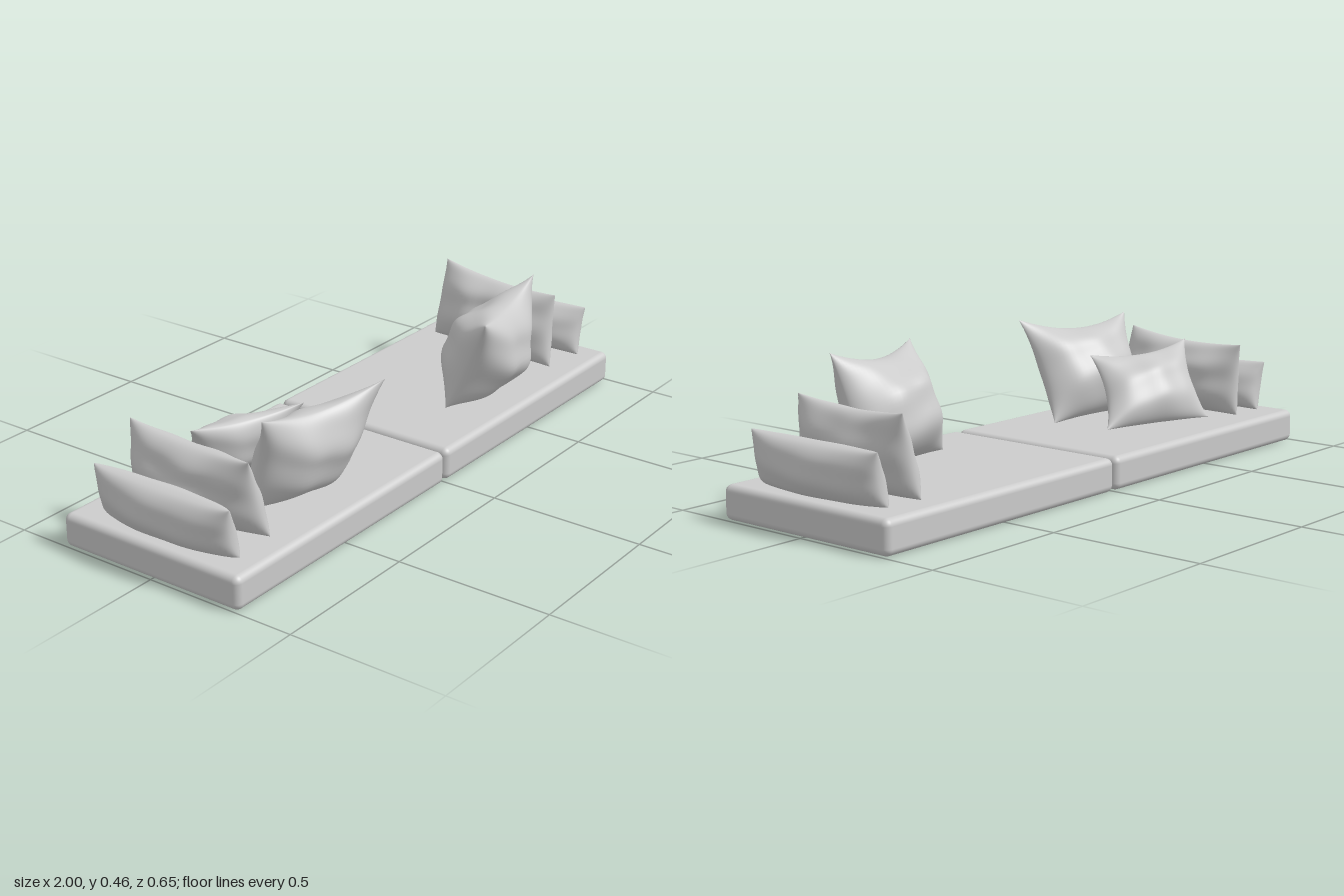
import * as THREE from 'three';
import { mergeGeometries, mergeVertices } from 'three/addons/utils/BufferGeometryUtils.js';
import { RoundedBoxGeometry } from 'three/addons/geometries/RoundedBoxGeometry.js';

const material = new THREE.MeshStandardMaterial({ color: 0xcccccc });
const SEAT_TOP = 0.106;
const V = (p) => new THREE.Vector3(...p);

// A stuffed pillow hung between four corners (top left, top right, bottom left, bottom right).
// thick: half thickness, sagX / sagY: how far edges draw in between corners,
// fill: smaller is squarer, folds: strength of the soft creases
function pillow(name, corners, { thick, sagX = 0.1, sagY = 0.2, fill = 0.62, folds = 0.1, seed = 0 }) {
  const [tl, tr, bl, br] = corners.map(V);
  const normal = new THREE.Vector3()
    .crossVectors(tr.clone().sub(tl).add(br).sub(bl), tl.clone().sub(bl).add(tr).sub(br))
    .normalize();
  const front = new THREE.PlaneGeometry(2, 2, 36, 36);
  const back = front.clone().rotateY(Math.PI);
  const sides = [front, back].map((geometry, i) => {
    const side = i === 0 ? 1 : -1;
    const pos = geometry.attributes.position;
    const p = new THREE.Vector3(), low = new THREE.Vector3();
    for (let k = 0; k < pos.count; k++) {
      // Rows crowd towards the seam so it stays round
      const u = Math.sin(pos.getX(k) * Math.PI / 2);
      const v = Math.sin(pos.getY(k) * Math.PI / 2);
      const eu = Math.max(0, 1 - u * u), ev = Math.max(0, 1 - v * v);
      const s = (1 + u * (1 - sagX * ev)) / 2;
      const t = (1 + v * (1 - (v > 0 ? sagY : sagY * 0.2) * eu)) / 2;
      low.lerpVectors(bl, br, s);
      p.lerpVectors(tl, tr, s).lerp(low, 1 - t);
      // Bulge, heavier at the bottom, with soft folds
      const crease = folds * Math.sin(5 * u + 3 * v + seed + side) * Math.sin(4 * v - 3 * u + seed * 2);
      const depth = thick * Math.pow(eu * ev, fill) * (1 - 0.2 * v + crease);
      p.addScaledVector(normal, side * depth);
      // Rest on the mattress
      p.y = Math.max(p.y, SEAT_TOP);
      pos.setXYZ(k, p.x, p.y, p.z);
    }
    geometry.deleteAttribute('normal');
    geometry.deleteAttribute('uv');
    return geometry;
  });
  const geometry = mergeVertices(mergeGeometries(sides), 1e-5);
  geometry.computeVertexNormals();
  const mesh = new THREE.Mesh(geometry, material);
  mesh.name = name;
  return mesh;
}

export function createModel() {
  const group = new THREE.Group();
  group.name = 'floorSofa';

  // Two floor mattresses and the bolsters at their outer ends
  for (const [label, x] of [['right', -1], ['left', 1]]) {
    const mattress = new THREE.Mesh(new RoundedBoxGeometry(0.996, 0.106, 0.655, 5, 0.022), material);
    mattress.name = label + 'Mattress';
    mattress.position.set(x * 0.502, 0.053, -0.0075);
    group.add(mattress);

    const h = -0.25 * x;
    group.add(pillow(label + 'Bolster', [
      [x * 0.945, 0.27, -h], [x * 0.945, 0.27, h],
      [x * 0.905, 0.11, -h], [x * 0.905, 0.11, h],
    ], { thick: 0.072, sagX: 0.03, sagY: 0.07, fill: 0.42, folds: 0.05, seed: x }));
  }

  // Pillows leaning on the bolsters
  group.add(pillow('rightSidePillow', [
    [-0.78, 0.35, -0.26], [-0.835, 0.365, 0.23],
    [-0.78, 0.11, -0.25], [-0.76, 0.11, 0.24],
  ], { thick: 0.085, sagX: 0.03, sagY: 0.14, fill: 0.5, folds: 0.12, seed: 1 }));
  group.add(pillow('leftSidePillow', [
    [0.79, 0.355, 0.22], [0.855, 0.365, -0.26],
    [0.755, 0.11, 0.23], [0.785, 0.11, -0.26],
  ], { thick: 0.085, sagX: 0.03, sagY: 0.14, fill: 0.5, folds: 0.12, seed: 2 }));

  // Large loose pillows tipped towards the front
  group.add(pillow('leftLargePillow', [
    [0.235, 0.44, 0.3], [0.68, 0.46, 0.2],
    [0.26, 0.11, 0.14], [0.68, 0.11, 0.06],
  ], { thick: 0.13, sagX: 0.08, sagY: 0.24, fill: 0.6, seed: 3 }));
  group.add(pillow('rightFrontPillow', [
    [-0.715, 0.43, 0.18], [-0.28, 0.44, 0.29],
    [-0.7, 0.11, 0.08], [-0.275, 0.11, 0.13],
  ], { thick: 0.1, sagX: 0.1, sagY: 0.25, seed: 4 }));
  group.add(pillow('rightBackPillow', [
    [-0.755, 0.355, -0.05], [-0.37, 0.335, 0.06],
    [-0.67, 0.115, -0.21], [-0.28, 0.115, -0.085],
  ], { thick: 0.075, sagX: 0.15, sagY: 0.22, seed: 5 }));

  return group;
}
